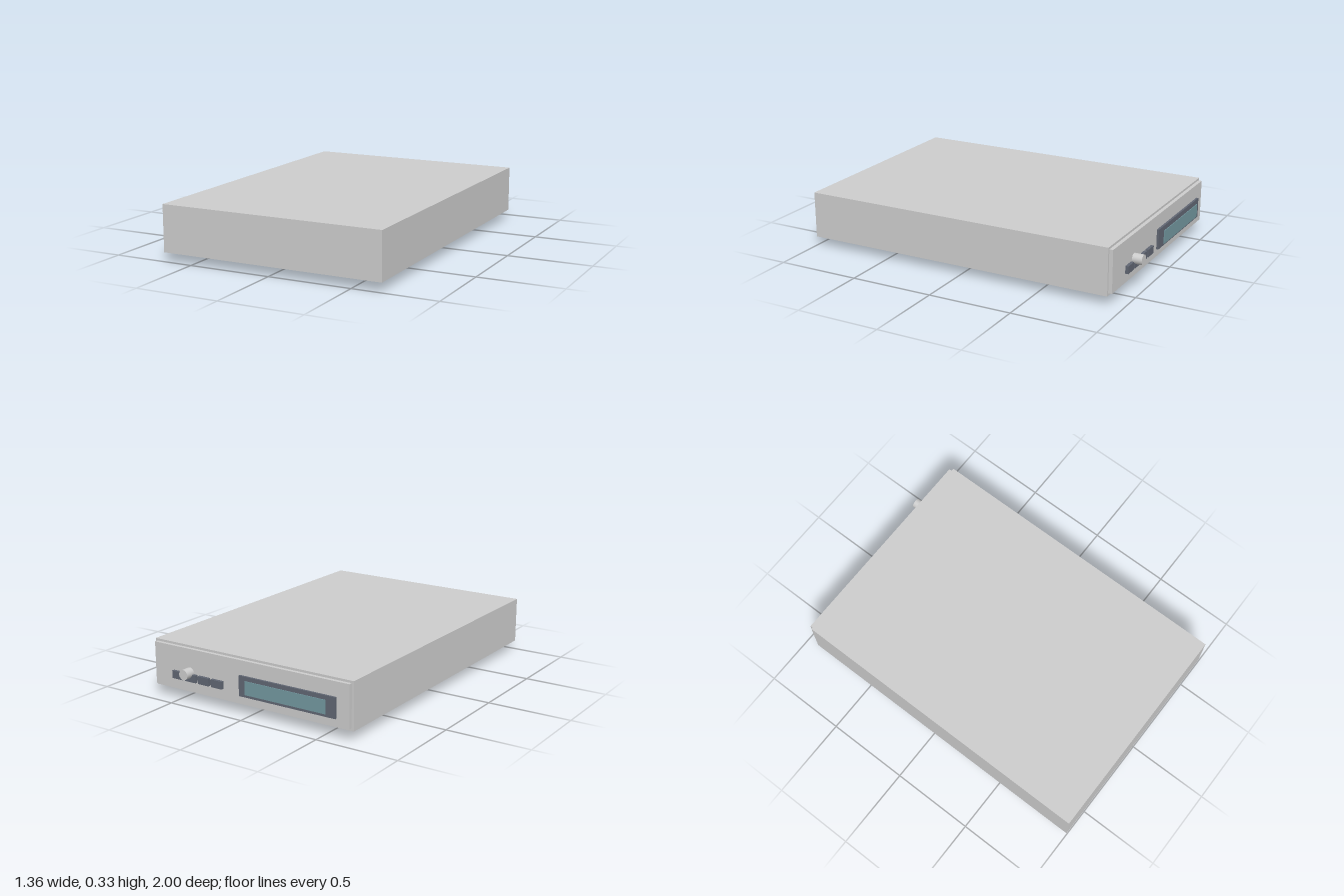
import * as THREE from 'three';

const grey = new THREE.MeshStandardMaterial({ color: 0xcccccc });
const dark = new THREE.MeshStandardMaterial({ color: 0x606672 });
const teal = new THREE.MeshStandardMaterial({ color: 0x72979f });

// Box given by its extents along each axis
function box(name, material, [x0, x1], [y0, y1], [z0, z1]) {
  const mesh = new THREE.Mesh(new THREE.BoxGeometry(x1 - x0, y1 - y0, z1 - z0), material);
  mesh.position.set((x0 + x1) / 2, (y0 + y1) / 2, (z0 + z1) / 2);
  mesh.name = name;
  return mesh;
}

export function createModel() {
  const model = new THREE.Group();
  model.name = 'deviceCase';

  // Main case and the slightly inset control panel on its back
  model.add(box('caseBody', grey, [-0.678, 0.678], [0.055, 0.333], [-0.91, 1]));
  model.add(box('controlPanel', grey, [-0.665, 0.665], [0.07, 0.32], [-0.932, -0.91]));

  // Display: dark bezel with a thin screen standing just off it
  model.add(box('displayBezel', dark, [-0.585, 0.052], [0.115, 0.235], [-0.945, -0.932]));
  model.add(box('displayScreen', teal, [-0.53, 0], [0.135, 0.215], [-0.959, -0.955]));

  // Row of push buttons
  for (let i = 0; i < 4; i++) {
    const x = 0.2 + i * 0.0935;
    model.add(box('button', dark, [x - 0.038, x + 0.038], [0.135, 0.18], [-0.96, -0.942]));
  }

  // Rotary knob, axis along z
  const knob = new THREE.Mesh(new THREE.CylinderGeometry(0.03, 0.03, 0.058, 32), grey);
  knob.rotation.x = Math.PI / 2;
  knob.position.set(0.402, 0.185, -0.971);
  knob.name = 'knob';
  model.add(knob);

  // Four feet
  for (const x of [-0.474, 0.474]) {
    for (const z of [0.713, -0.62]) {
      model.add(box('foot', dark, [x - 0.057, x + 0.057], [0, 0.055], [z - 0.057, z + 0.057]));
    }
  }
  return model;
}
